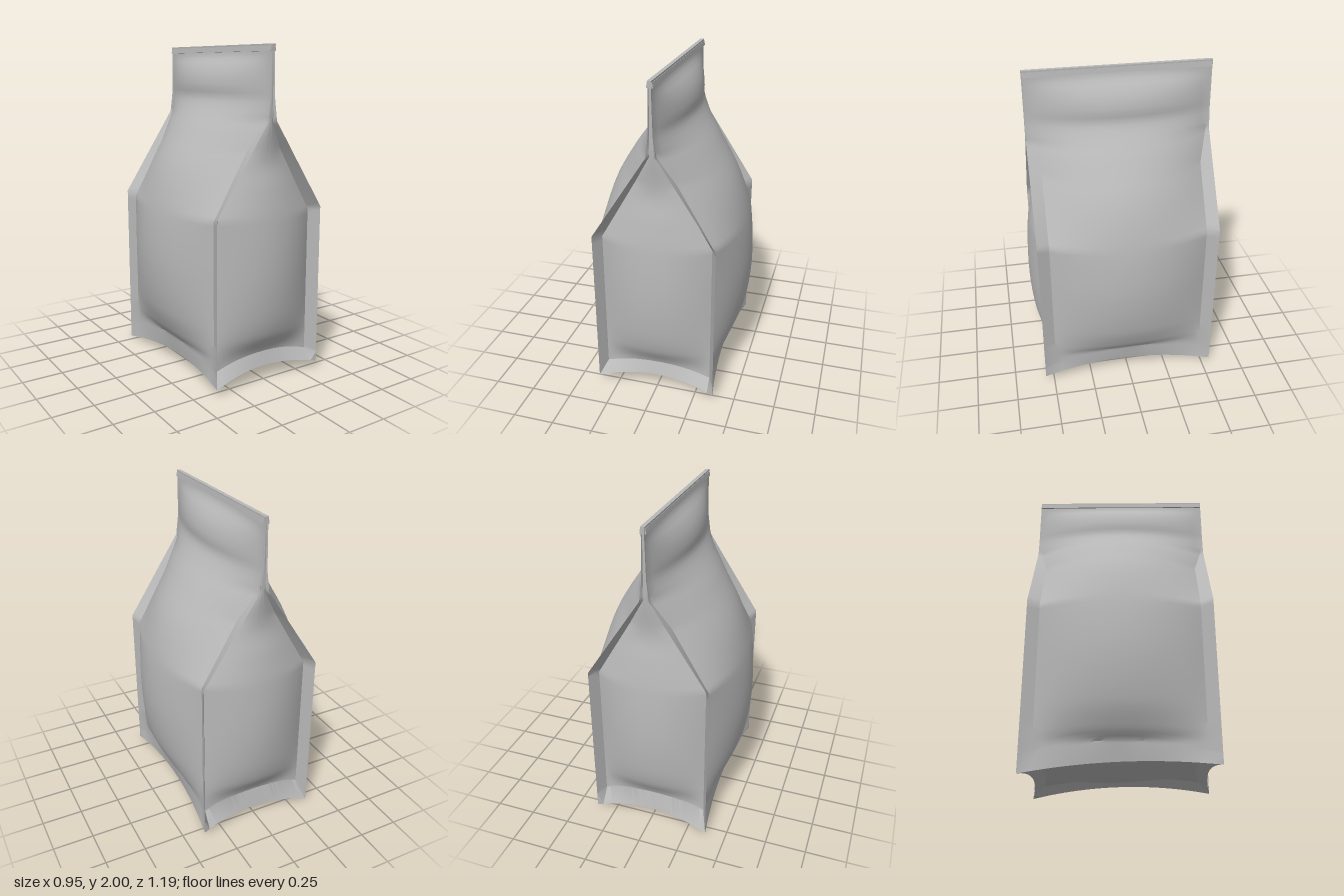
import * as THREE from 'three';
import { toCreasedNormals } from 'three/addons/utils/BufferGeometryUtils.js';

// Height profiles: [y, value]
const SEAM_X = [[0, 0.372], [1.05, 0.372], [1.575, 0.03], [1.7, 0.014], [2, 0.008]];
const WIDE_CREASE_X = [[0, 0.348], [1.025, 0.348], [1.575, 0.028], [1.7, 0.014], [2, 0.008]];
const END_CREASE_X = [[0, 0.335], [1.025, 0.335], [1.575, 0.016], [1.7, 0.01], [2, 0.006]];
const CREASE_Z = [[0, 0.482], [1.4, 0.482], [1.6, 0.54], [2, 0.545]];
const WIDE_MID_X = [[0, 0.34], [0.17, 0.34], [0.25, 0.39], [0.4, 0.445], [0.65, 0.475], [0.9, 0.465],
  [1.1, 0.43], [1.3, 0.36], [1.5, 0.24], [1.68, 0.115], [1.76, 0.112], [1.83, 0.095], [1.89, 0.06], [1.935, 0.02], [2, 0.008]];
const END_MID_Z = [[0, 0.482], [0.17, 0.484], [0.3, 0.55], [0.45, 0.582], [0.7, 0.595],
  [1, 0.58], [1.18, 0.552], [1.35, 0.52], [1.6, 0.542], [2, 0.547]];
const SEAM_Z = 0.555;

// Reads a profile, straight or smoothed between its points
function sample(table, y, smooth = false) {
  let i = 0;
  while (i < table.length - 2 && y > table[i + 1][0]) i++;
  const [y0, a] = table[i], [y1, b] = table[i + 1];
  const t = THREE.MathUtils.clamp((y - y0) / (y1 - y0), 0, 1);
  if (!smooth) return a + (b - a) * t;
  const slope = (k) => {
    const p = table[Math.max(k - 1, 0)], n = table[Math.min(k + 1, table.length - 1)];
    return (n[1] - p[1]) / (n[0] - p[0]);
  };
  const h = y1 - y0, t2 = t * t, t3 = t2 * t;
  return a * (2 * t3 - 3 * t2 + 1) + b * (3 * t2 - 2 * t3)
    + h * (slope(i) * (t3 - 2 * t2 + t) + slope(i + 1) * (t3 - t2));
}

// Surface from a rule f(u, v) over lists of u and v
function surface(f, us, vs, flip = false) {
  const pos = [], index = [], n = us.length;
  for (const v of vs) for (const u of us) pos.push(...f(u, v));
  for (let j = 0; j < vs.length - 1; j++) {
    for (let i = 0; i < n - 1; i++) {
      const a = j * n + i, b = a + 1, d = a + n, c = d + 1;
      if (flip) index.push(a, c, b, a, d, c);
      else index.push(a, b, c, a, c, d);
    }
  }
  const g = new THREE.BufferGeometry();
  g.setAttribute('position', new THREE.Float32BufferAttribute(pos, 3));
  g.setIndex(index);
  return toCreasedNormals(g, 0.55);
}

// Base patch; its rim is the slightly uneven, arched bottom seam
function base(s, t) {
  const front = 0.05, back = 0.0125 + 0.0075 * s;
  const y = front + (back - front) * (1 - t) / 2 + 0.05 * (1 - s * s * t * t);
  return [s * (0.372 - 0.04 * (1 - t * t)), y, t * (SEAM_Z - 0.04 * (1 - s * s))];
}

// Base panel: folded up behind the seam, then sagging in the middle
function basePanel(s, t) {
  const p = base(s, t), m = Math.max(Math.abs(s), Math.abs(t));
  p[1] += m > 0.88 ? 0.045 * (1 - m) / 0.12 : 0.045 - 0.075 * (1 - (s / 0.88) ** 2) * (1 - (t / 0.88) ** 2);
  return p;
}

// Rows near the bottom arch upward in the middle
const lift = (y, u) => y + 0.07 * (1 - u * u) * Math.max(0, 1 - (y - 0.11) / 0.4);

// Wide panel on side +x or -x; |q| > 1 is the pinched corner seam
function widePanel(side) {
  return (q, y) => {
    const tip = Math.abs(q) > 1, sign = Math.sign(q);
    const u = tip ? sign : sample(CREASE_Z, y) * q / SEAM_Z;
    if (y === 0) return base(side, u);
    if (tip) return [side * sample(SEAM_X, y), y, sign * SEAM_Z];
    const Y = lift(y, u), crease = sample(WIDE_CREASE_X, Y);
    const bulge = Math.max(0, sample(WIDE_MID_X, Y, true) - crease);
    return [side * (crease + bulge * (1 - q * q)), Y, sample(CREASE_Z, Y) * q];
  };
}

// Gabled end panel on side +z or -z
function endPanel(side) {
  return (q, y) => {
    const tip = Math.abs(q) > 1, sign = Math.sign(q);
    const u = tip ? sign : sample(END_CREASE_X, y) * q / sample(SEAM_X, y);
    if (y === 0) return base(u, side);
    if (tip) return [sign * sample(SEAM_X, y), y, side * SEAM_Z];
    const Y = lift(y, u), crease = sample(CREASE_Z, Y);
    const bulge = Math.max(0, sample(END_MID_Z, Y, true) - crease);
    return [sample(END_CREASE_X, Y) * q, Y, side * (crease + bulge * (1 - q * q))];
  };
}

export function createModel() {
  const bag = new THREE.Group();
  bag.name = 'pouchBag';
  const foil = new THREE.MeshStandardMaterial({ color: 0xb8b8b8, side: THREE.DoubleSide });
  foil.name = 'greyFoil';
  const add = (name, geometry) => {
    const mesh = new THREE.Mesh(geometry, foil);
    mesh.name = name;
    bag.add(mesh);
    return mesh;
  };

  const cols = [-1.2, ...Array.from({ length: 25 }, (_, i) => -1 + i / 12), 1.2];
  const rows = [0, 0.11, ...Array.from({ length: 76 }, (_, i) => 0.125 + i * 0.025)];

  // Four wall panels
  add('leftPanel', surface(widePanel(1), cols, rows, true));
  add('rightPanel', surface(widePanel(-1), cols, rows));
  add('frontPanel', surface(endPanel(1), cols, rows));
  add('backPanel', surface(endPanel(-1), cols, rows, true));

  // Base
  const grid = [-1, ...Array.from({ length: 23 }, (_, i) => -0.88 + i * 0.08), 1];
  add('basePanel', surface(basePanel, grid, grid));

  // Heat-sealed top strip, with a fold line on each face
  add('topSeal', new THREE.BoxGeometry(0.024, 0.04, 1.11)).position.y = 1.98;
  for (const side of [-1, 1]) {
    const fold = add('sealFold', new THREE.BoxGeometry(0.006, 0.03, 1.1));
    fold.position.set(side * 0.014, 1.975, 0);
    fold.rotation.z = side * 0.15;
  }
  return bag;
}
